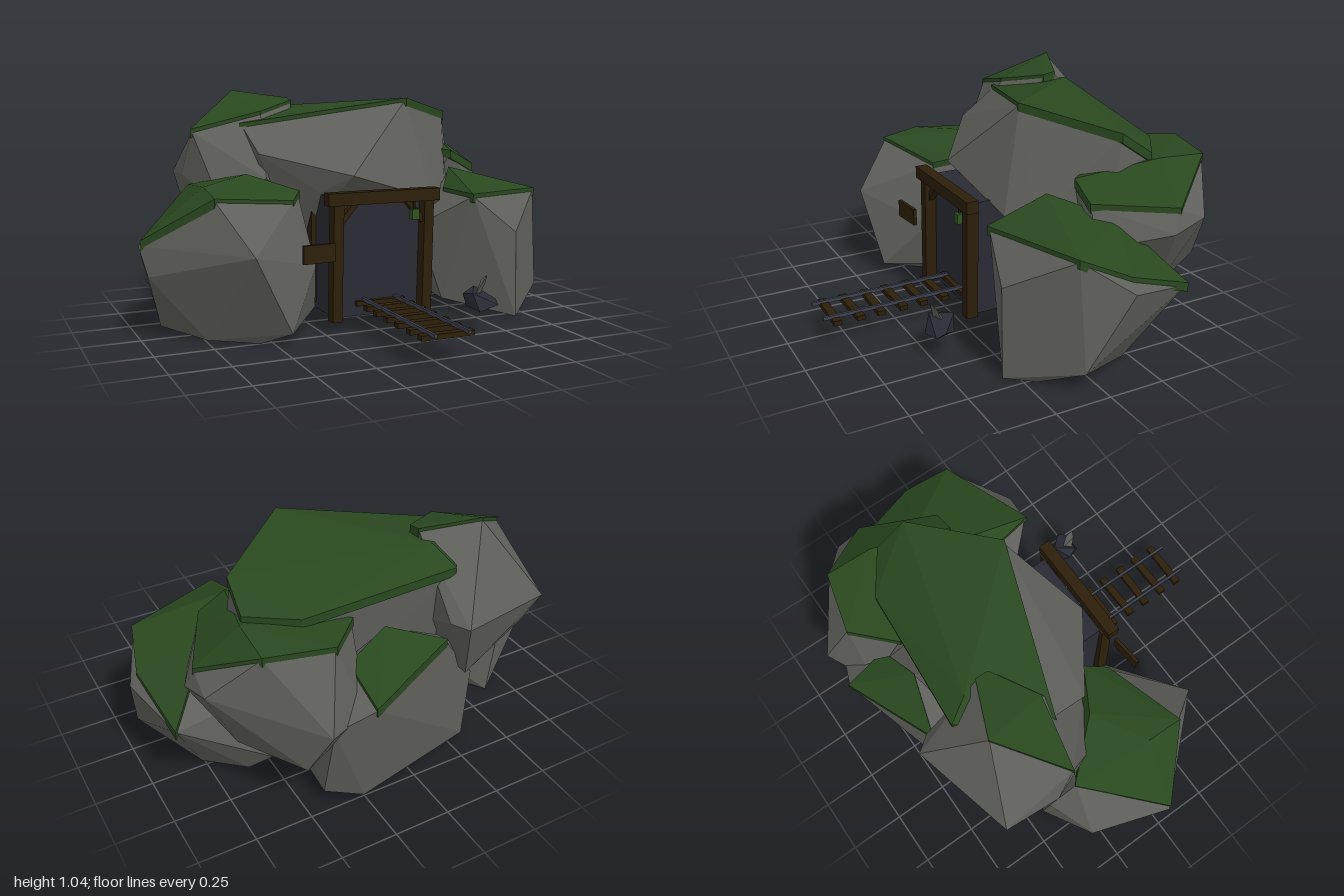
import * as THREE from 'three';
import { ConvexGeometry } from 'three/addons/geometries/ConvexGeometry.js';

const paint = (name, color) => {
  const m = new THREE.MeshStandardMaterial({ color });
  m.name = name;
  return m;
};

export function createModel() {
  const model = new THREE.Group();
  model.name = 'mineEntrance';
  const stone = paint('stone grey', 0x5f5f5b);
  const moss = paint('moss green', 0x29481f);
  const wood = paint('dark wood', 0x2c1e0a);
  const slate = paint('dark slate', 0x2a2a35);
  const steel = paint('rail steel', 0x3e4352);
  const glow = paint('lantern green', 0x2f5420);

  const add = (name, geometry, material, parent = model) => {
    const mesh = new THREE.Mesh(geometry, material);
    mesh.name = name;
    parent.add(mesh);
    return mesh;
  };
  const hull = (pts) => new ConvexGeometry(pts.map((p) => new THREE.Vector3(...p)));
  const box = (name, size, pos, material, rot = [0, 0, 0], parent = model) => {
    const mesh = add(name, new THREE.BoxGeometry(...size), material, parent);
    mesh.position.set(...pos);
    mesh.rotation.set(...rot);
    return mesh;
  };

  // A boulder is the hull of its crown and body; the crown also carries a moss slab
  const boulder = (name, crown, body) => {
    const group = new THREE.Group();
    group.name = name;
    model.add(group);
    add(name + 'Stone', hull([...crown, ...body]), stone, group);
    const cx = crown.reduce((s, p) => s + p[0], 0) / crown.length;
    const cz = crown.reduce((s, p) => s + p[2], 0) / crown.length;
    const slab = crown.flatMap(([x, y, z]) => [0.012, -0.028].map((d) =>
      [cx + (x - cx) * 1.025, y + d, cz + (z - cz) * 1.025]));
    add(name + 'Moss', hull(slab), moss, group);
  };

  boulder('leftFrontBoulder',
    [[-0.985, 0.42, 0.01], [-0.73, 0.61, 0.23], [-0.73, 0.64, 0.06], [-0.36, 0.57, 0.13],
      [-0.3, 0.6, 0.04], [-0.5, 0.67, -0.08], [-0.7, 0.61, -0.3]],
    [[-1, 0.41, 0], [-0.87, 0, -0.2], [-0.74, 0, 0.11], [-0.55, 0, 0.25], [-0.62, 0.4, 0.415],
      [-0.45, 0.06, 0.37], [-0.28, 0.3, 0.2], [-0.22, 0.08, 0.04], [-0.35, 0.02, 0.12],
      [-0.88, 0.33, -0.33], [-0.68, 0.42, -0.42], [-0.63, 0, -0.42], [-0.97, 0.28, 0.04],
      [-0.3, 0.3, -0.2]]);

  boulder('rightFrontBoulder',
    [[0.47, 0.57, 0.26], [0.9, 0.56, 0.1], [0.96, 0.47, -0.1], [0.92, 0.36, -0.4],
      [0.7, 0.6, -0.2], [0.49, 0.67, 0], [0.43, 0.58, 0.06]],
    [[0.67, 0.4, 0.31], [0.68, 0, 0.31], [0.77, 0, 0.2], [0.94, 0.09, 0.08], [1, 0.42, -0.1],
      [0.76, 0, -0.22], [0.6, 0, -0.36], [0.52, 0.09, -0.44], [0.4, 0.07, 0.1],
      [0.29, 0.42, 0.06], [0.4, 0.08, -0.05], [0.55, 0.4, -0.38]]);

  boulder('topBoulder',
    [[-0.46, 0.885, -0.25], [0.25, 1, 0], [0.6, 0.92, -0.28], [0.61, 0.82, -0.42],
      [0.42, 0.82, -0.55], [-0.24, 0.88, -0.6], [-0.19, 0.955, -0.5]],
    [[-0.44, 0.77, -0.07], [-0.09, 0.68, 0.18], [0.34, 0.55, 0.12], [0.45, 0.52, 0.04],
      [0.62, 0.68, -0.25], [0.3, 0.33, -0.15], [-0.2, 0.6, 0.06], [-0.4, 0.6, -0.2],
      [-0.26, 0.36, -0.12], [0.32, 0.33, -0.5], [-0.2, 0.5, -0.55]]);

  boulder('leftUpperBoulder',
    [[-0.42, 1.03, -0.53], [-0.18, 0.995, -0.43], [-0.18, 0.985, -0.37], [-0.37, 0.94, -0.25],
      [-0.68, 0.86, -0.31]],
    [[-0.71, 0.66, -0.4], [-0.69, 0.65, -0.65], [-0.22, 0.69, -0.77], [-0.17, 0.7, -0.7],
      [-0.41, 0.66, -0.06], [-0.6, 0.55, -0.14], [-0.6, 0.34, -0.45], [-0.48, 0.24, -0.37],
      [-0.3, 0.38, -0.66], [-0.2, 0.5, -0.25], [-0.66, 0.5, -0.58]]);

  boulder('rightBackBoulder',
    [[0.65, 0.79, -0.66], [0.38, 0.79, -0.73], [0.83, 0.65, -0.42], [0.67, 0.67, -0.1],
      [0.55, 0.74, -0.1], [0.64, 0.8, -0.45], [0.22, 0.77, -0.57]],
    [[0.46, 0.48, -0.86], [0.84, 0.6, -0.54], [0.86, 0.56, -0.38], [0.68, 0.25, -0.45],
      [0.52, 0.27, -0.76], [0.72, 0.5, -0.08], [0.4, 0.36, -0.2], [0.25, 0.45, -0.75],
      [0.35, 0.26, -0.55]]);

  boulder('backBoulder',
    [[0.26, 0.53, -0.85], [-0.17, 0.6, -0.68], [0.08, 0.7, -0.6], [0.27, 0.62, -0.65]],
    [[0.42, 0.45, -0.8], [0.42, 0.07, -0.71], [0.27, 0.04, -0.78], [-0.34, 0, -0.62],
      [-0.45, 0.16, -0.4], [-0.42, 0.27, -0.55], [0.3, 0, -0.47], [0.26, 0, -0.6],
      [0.4, 0.07, -0.45], [-0.36, 0.45, -0.48], [0.45, 0.35, -0.45], [0.1, 0.3, -0.3]]);

  // Dark tunnel block
  box('tunnel', [0.43, 0.53, 0.72], [0.02, 0.325, -0.155], slate);

  // Timber portal with corner braces, and a second pair of posts further in
  const frame = new THREE.Group();
  frame.name = 'timberFrame';
  model.add(frame);
  box('lintel', [0.535, 0.055, 0.055], [0.022, 0.593, 0.243], wood, [0, 0, 0], frame);
  for (const s of [-1, 1]) {
    box('frontPost', [0.046, 0.52, 0.055], [0.02 + s * 0.218, 0.315, 0.232], wood, [0, 0, -0.02], frame);
    box('innerPost', [0.045, 0.5, 0.05], [0.02 + s * 0.215, 0.34, -0.03], wood, [0, 0, 0], frame);
    box('brace', [0.025, 0.13, 0.03], [0.02 + s * 0.162, 0.525, 0.225], wood, [0, 0, s * 0.7], frame);
  }

  // Hanging lantern
  box('lantern', [0.034, 0.046, 0.034], [0.172, 0.507, 0.25], glow);
  box('lanternHook', [0.008, 0.05, 0.008], [0.172, 0.55, 0.25], wood);

  // Sign board beside the portal
  box('signBoard', [0.15, 0.08, 0.016], [-0.302, 0.373, 0.295], wood, [0, 0.09, 0]);

  // Rails on sleepers
  const track = new THREE.Group();
  track.name = 'track';
  model.add(track);
  for (const x of [-0.055, 0.098]) {
    box('rail', [0.012, 0.016, 0.67], [x, 0.133, 0.53], steel, [0, 0, 0], track);
  }
  for (let i = 0; i < 7; i++) {
    box('sleeper', [0.235, 0.022, 0.036], [0.022, 0.118, 0.21 + i * 0.1], wood,
      [0, i % 2 ? 0.02 : -0.02, 0], track);
  }

  // Loose dark rock with a pale shard on top
  add('looseRock', hull([[0.32, 0.17, 0.43], [0.4, 0.19, 0.39], [0.47, 0.14, 0.46], [0.46, 0.12, 0.5],
    [0.36, 0.1, 0.51], [0.35, 0.11, 0.41], [0.42, 0.11, 0.4], [0.34, 0.18, 0.48]]), slate);
  add('shard', hull([[0.36, 0.17, 0.47], [0.4, 0.17, 0.45], [0.385, 0.16, 0.43],
    [0.41, 0.22, 0.47], [0.375, 0.24, 0.49], [0.4, 0.26, 0.5]]), stone);

  return model;
}
